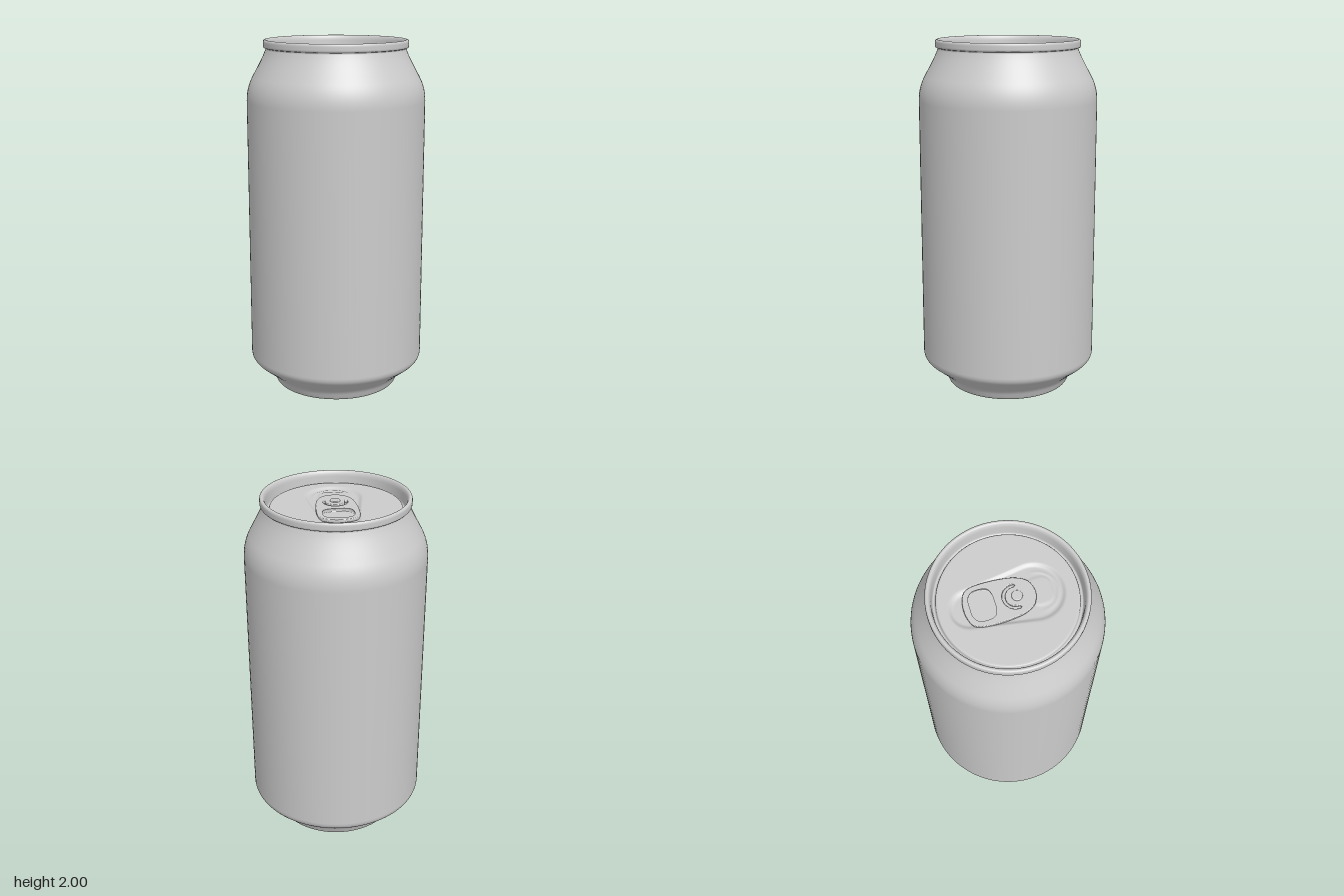
import * as THREE from 'three';

const material = new THREE.MeshStandardMaterial({ color: 0xcccccc, side: THREE.DoubleSide });

function addMesh(parent, name, geometry, y = 0) {
  const mesh = new THREE.Mesh(geometry, material);
  mesh.name = name;
  mesh.position.y = y;
  parent.add(mesh);
  return mesh;
}

// Polyline whose corners are rounded; each corner is [radius, height, rounding]
function roundedProfile(corners, steps = 6) {
  const v = corners.map(([x, y]) => new THREE.Vector2(x, y));
  const out = [v[0]];
  for (let i = 1; i < v.length - 1; i++) {
    const toward = (other) => {
      const d = other.clone().sub(v[i]);
      return v[i].clone().addScaledVector(d, Math.min(corners[i][2], d.length() * 0.48) / d.length());
    };
    out.push(...new THREE.QuadraticBezierCurve(toward(v[i - 1]), v[i], toward(v[i + 1])).getPoints(steps));
  }
  out.push(v[v.length - 1]);
  return out;
}

// Signed distance to a teardrop made of two circles on the z axis
function teardrop(x, z, z1, r1, z2, r2) {
  const h = z2 - z1, b = (r1 - r2) / h, a = Math.sqrt(1 - b * b);
  const px = Math.abs(x), pz = z - z1, k = a * pz - b * px;
  if (k < 0) return Math.hypot(px, pz) - r1;
  if (k > a * h) return Math.hypot(px, pz - h) - r2;
  return px * a + pz * b - r1;
}

// Signed distance to a rounded rectangle
function roundedBox(x, z, cz, halfX, halfZ, r) {
  const qx = Math.abs(x) - halfX + r, qz = Math.abs(z - cz) - halfZ + r;
  return Math.hypot(Math.max(qx, 0), Math.max(qz, 0)) + Math.min(Math.max(qx, qz), 0) - r;
}

// Relief pressed into the lid panel
function panelRelief(x, z) {
  const recess = -0.012 * (1 - THREE.MathUtils.smoothstep(teardrop(x, z, -0.195, 0.105, 0.135, 0.157), -0.022, 0.002));
  const mouth = 0.004 * (1 - THREE.MathUtils.smoothstep(roundedBox(x, z, 0.168, 0.082, 0.064, 0.05), -0.014, 0));
  const bead = 0.003 * Math.exp(-((teardrop(x, z, 0.1, 0.085, 0.15, 0.105) / 0.007) ** 2)) * THREE.MathUtils.smoothstep(z, 0.12, 0.2);
  return recess + mouth + bead;
}

// Smooth closed outline through a few points
function closedCurve(points) {
  const curve = new THREE.CatmullRomCurve3(points.map(([x, y]) => new THREE.Vector3(x, y, 0)), true, 'centripetal');
  return curve.getPoints(64).slice(0, -1).map((p) => new THREE.Vector2(p.x, p.y));
}

const mirrored = (half) => [...half, ...half.filter(([x]) => x > 0).reverse().map(([x, y]) => [-x, y])];

export function createModel() {
  const can = new THREE.Group();
  can.name = 'drinkCan';

  // Domed base, standing ring, wall, neck, rolled rim and countersink in one profile
  const profile = roundedProfile([
    [0, 0.13, 0], [0.1, 0.122, 0.06], [0.19, 0.098, 0.06], [0.275, 0.055, 0.03],
    [0.318, 0, 0.015], [0.35, 0, 0.018], [0.374, 0.06, 0.025],
    [0.5, 0.16, 0.03], [0.5, 1.735, 0.07], [0.408, 1.905, 0.06], [0.388, 1.955, 0.012],
    [0.405, 1.957, 0.012], [0.405, 1.998, 0.014], [0.388, 2.003, 0.014], [0.377, 1.985, 0.015],
    [0.372, 1.915, 0.012], [0.358, 1.915, 0.012], [0.354, 1.941, 0.01], [0.342, 1.942, 0],
  ]);
  addMesh(can, 'body', new THREE.LatheGeometry(profile, 96));

  // Lid panel with its pressed recess and mouth
  const panel = new THREE.RingGeometry(0.0005, 0.343, 128, 96).rotateX(-Math.PI / 2);
  const pos = panel.attributes.position;
  for (let i = 0; i < pos.count; i++) pos.setY(i, panelRelief(pos.getX(i), pos.getZ(i)));
  panel.computeVertexNormals();
  addMesh(can, 'lidPanel', panel, 1.942);

  // Pull tab, drawn flat with its nose toward -y
  const tab = new THREE.Group();
  tab.name = 'pullTab';
  can.add(tab);
  const outline = new THREE.Shape(closedCurve(mirrored([
    [0, 0.222], [0.05, 0.215], [0.088, 0.196], [0.104, 0.165], [0.11, 0.1],
    [0.106, 0.01], [0.092, -0.065], [0.06, -0.117], [0, -0.137],
  ])));
  outline.holes.push(new THREE.Path(closedCurve(mirrored([
    [0, 0.193], [0.05, 0.189], [0.077, 0.168], [0.084, 0.125], [0.074, 0.086], [0.045, 0.071], [0, 0.069],
  ]))));

  // Curved slot around the rivet
  const slot = new THREE.Path();
  slot.absarc(0, -0.038, 0.071, 0, Math.PI, false);
  slot.absarc(-0.059, -0.042, 0.012, Math.PI, Math.PI * 2, false);
  slot.absarc(0, -0.038, 0.047, Math.PI, 0, true);
  slot.absarc(0.059, -0.042, 0.012, Math.PI, Math.PI * 2, false);
  outline.holes.push(slot);
  addMesh(tab, 'tabPlate', new THREE.ExtrudeGeometry(outline, {
    depth: 0.008, bevelThickness: 0.005, bevelSize: 0.004, bevelSegments: 3, curveSegments: 24,
  }).rotateX(-Math.PI / 2), 1.938);

  // Rivet holding the tab
  const rivet = addMesh(tab, 'rivet', new THREE.LatheGeometry(roundedProfile([
    [0.028, 1.925, 0], [0.028, 1.957, 0.006], [0, 1.957, 0],
  ]), 32));
  rivet.position.z = 0.046;

  return can;
}
